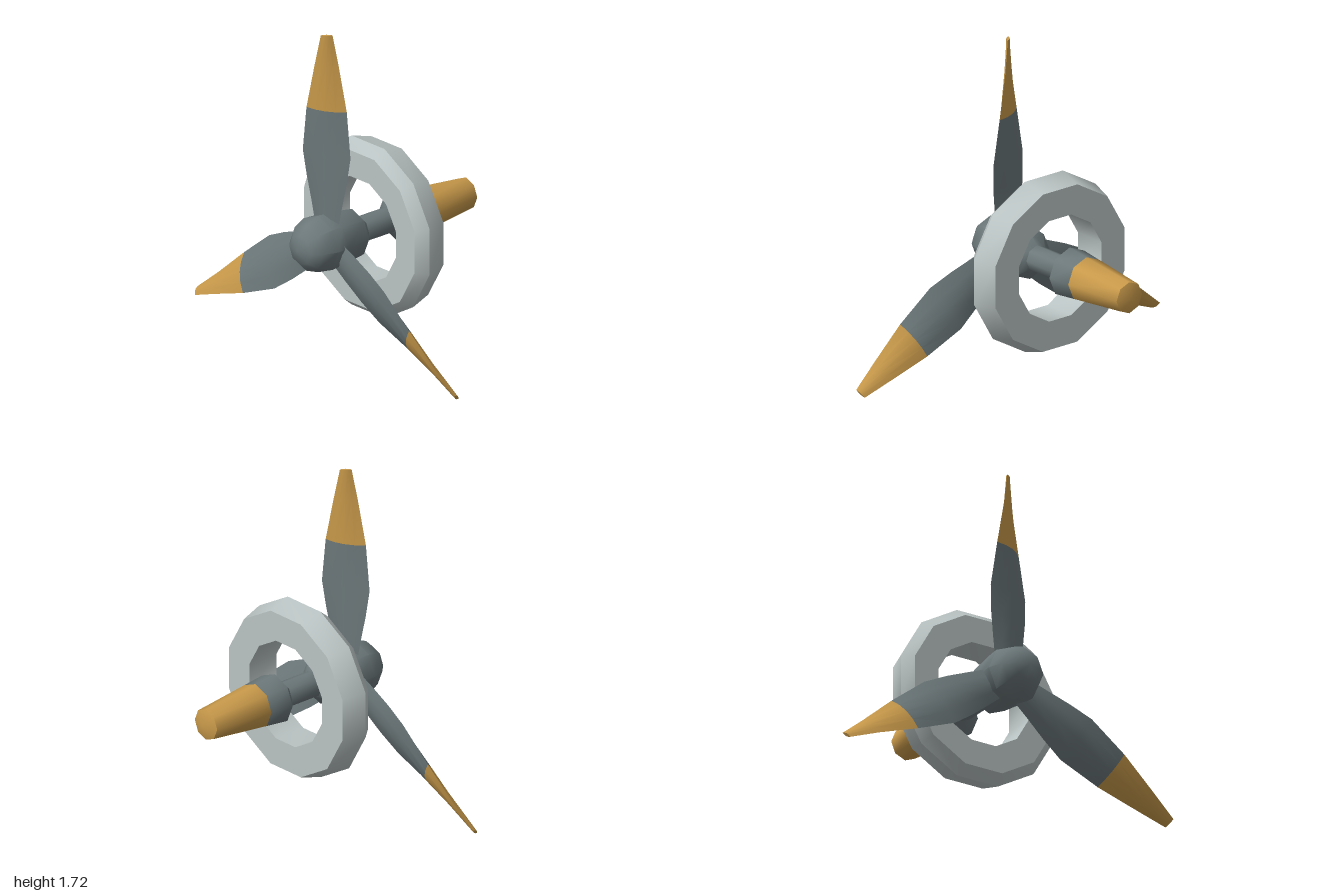
import * as THREE from 'three';
import { toCreasedNormals } from 'three/addons/utils/BufferGeometryUtils.js';

const AXIS_Y = 0.595; // height of the rotor axis
const HUB_Z = 0.395;  // plane of the blades

// Turned part along z: profile of [radius, z] points, rear to front
function turned(profile, sides, phase, crease) {
  const points = profile.map(([r, z]) => new THREE.Vector2(r, z));
  const geo = new THREE.LatheGeometry(points, sides);
  geo.rotateX(Math.PI / 2);
  geo.rotateZ(phase);
  return toCreasedNormals(geo, crease);
}

// Twisted blade pointing up y, lofted from lens sections
function bladeGeometry() {
  // distance from axis, half chord, half thickness, twist in degrees
  const stations = [
    [0.08, 0.08, 0.02, 4],
    [0.2, 0.1, 0.023, 8],
    [0.34, 0.124, 0.027, 13],
    [0.48, 0.14, 0.028, 18],
    [0.725, 0.11, 0.025, 27],
    [0.965, 0.063, 0.016, 38],
    [1.135, 0.03, 0.009, 48],
  ];
  const lens = [[1, 0], [0.5, 0.75], [0, 1], [-0.5, 0.75], [-1, 0], [-0.5, -0.75], [0, -1], [0.5, -0.75]];
  const n = lens.length;
  const positions = [];
  const index = [];
  for (const [d, chord, thick, deg] of stations) {
    const a = THREE.MathUtils.degToRad(deg);
    for (const [u, v] of lens) {
      const x = u * chord, z = v * thick;
      positions.push(x * Math.cos(a) + z * Math.sin(a), d, -x * Math.sin(a) + z * Math.cos(a));
    }
  }
  const geo = new THREE.BufferGeometry();
  for (let s = 0; s < stations.length - 1; s++) {
    for (let i = 0; i < n; i++) {
      const j = (i + 1) % n;
      const a = s * n + i, b = s * n + j, c = a + n, e = b + n;
      index.push(a, c, b, b, c, e);
    }
  }
  // flat tip
  const last = (stations.length - 1) * n;
  positions.push(0, stations[stations.length - 1][0], 0);
  for (let i = 0; i < n; i++) index.push(last + n, last + (i + 1) % n, last + i);

  geo.setAttribute('position', new THREE.Float32BufferAttribute(positions, 3));
  geo.setIndex(index);
  const split = 4 * n * 6; // painted tip begins at the fifth station
  geo.addGroup(0, split, 0);
  geo.addGroup(split, index.length - split, 1);
  return toCreasedNormals(geo, 0.5);
}

export function createModel() {
  const model = new THREE.Group();
  model.name = 'propeller';
  const slate = new THREE.MeshStandardMaterial({ name: 'slate grey', color: 0x6c787a });
  const gold = new THREE.MeshStandardMaterial({ name: 'gold', color: 0xc8994a });
  const pale = new THREE.MeshStandardMaterial({ name: 'pale grey', color: 0xbac3c3 });

  const add = (name, geo, material) => {
    const mesh = new THREE.Mesh(geo, material);
    mesh.name = name;
    mesh.position.y = AXIS_Y;
    model.add(mesh);
    return mesh;
  };

  // Spinner, shaft and tail share one axis
  add('spinner', turned([
    [0.07, 0.165], [0.13, 0.22], [0.15, 0.38], [0.155, 0.455],
    [0.125, 0.535], [0.08, 0.58], [0, 0.6],
  ], 8, 0, 0.85), slate);
  add('shaft', turned([[0.07, -0.045], [0.07, 0.17]], 8, 0, 0.85), slate);
  add('tailCollar', turned([[0.07, -0.04], [0.135, -0.095]].reverse(), 8, 0, 0.85), slate);
  add('tailBody', turned([[0.121, -0.228], [0.135, -0.095]], 8, 0, 0.85), slate);
  add('tailCap', turned([[0, -0.6], [0.085, -0.57], [0.121, -0.228]], 8, 0, 0.85), gold);

  // Twelve-sided ring; profile given by flat-to-centre distances
  const k = 1 / Math.cos(Math.PI / 12);
  add('ring', turned([
    [0.275, -0.02], [0.43, -0.02], [0.466, 0.108], [0.418, 0.168], [0.275, 0.168], [0.275, -0.02],
  ].map(([r, z]) => [r * k, z]), 12, Math.PI / 12, 0.7), pale);

  // Three blades with painted tips
  const blade = bladeGeometry();
  for (let i = 0; i < 3; i++) {
    const mesh = add('blade' + (i + 1), blade, [slate, gold]);
    mesh.position.z = HUB_Z;
    mesh.rotation.z = (i * Math.PI * 2) / 3;
  }
  return model;
}
